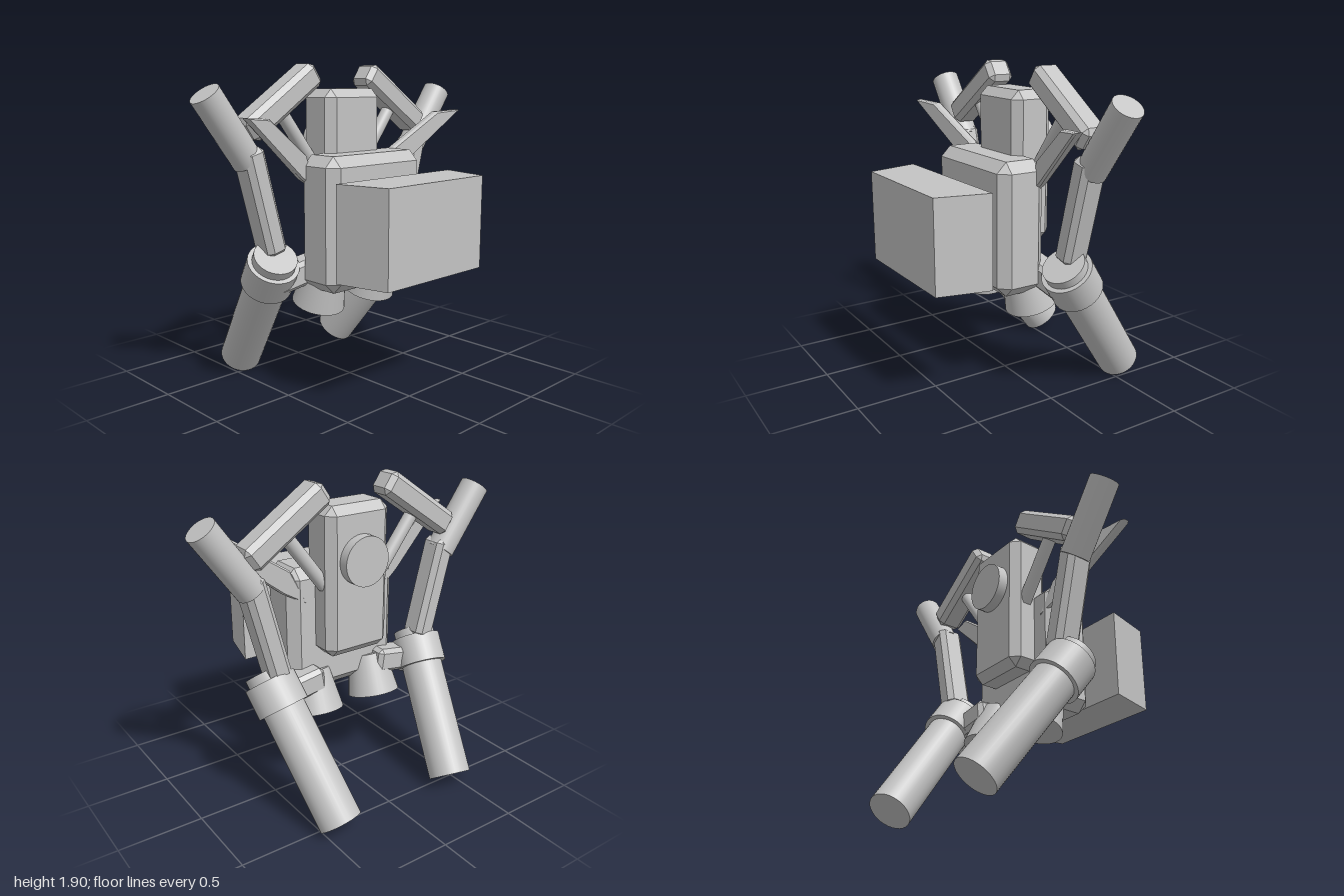
import * as THREE from 'three';
import { ConvexGeometry } from 'three/addons/geometries/ConvexGeometry.js';

const grey = new THREE.MeshStandardMaterial({ color: 0xc4c4c4 });
grey.name = 'plainGrey';
const V = (x, y, z) => new THREE.Vector3(x, y, z);

function part(name, geometry, parent) {
  const mesh = new THREE.Mesh(geometry, grey);
  mesh.name = name;
  parent.add(mesh);
  return mesh;
}

// Box with every edge and corner cut at 45 degrees
function chamferBox(w, h, d, c) {
  const pts = [];
  for (const x of [-1, 1]) for (const y of [-1, 1]) for (const z of [-1, 1]) {
    const a = w / 2, b = h / 2, e = d / 2;
    pts.push(
      V(x * a, y * (b - c), z * (e - c)),
      V(x * (a - c), y * b, z * (e - c)),
      V(x * (a - c), y * (b - c), z * e));
  }
  return new ConvexGeometry(pts);
}

// Aligns a mesh's y axis with the line from a to b
function alignBetween(mesh, a, b) {
  mesh.position.copy(a).add(b).multiplyScalar(0.5);
  mesh.quaternion.setFromUnitVectors(V(0, 1, 0), b.clone().sub(a).normalize());
  return mesh;
}

function rod(name, a, b, rA, rB, parent) {
  return alignBetween(part(name, new THREE.CylinderGeometry(rB, rA, a.distanceTo(b), 32), parent), a, b);
}

function beam(name, a, b, width, depth, bevel, parent) {
  return alignBetween(part(name, chamferBox(width, a.distanceTo(b), depth, bevel), parent), a, b);
}

// Swept blade: flat outline sheared forwards towards its tip
function finGeometry(s) {
  const outline = [[0.84, 1.625], [0.68, 1.61], [0.37, 1.40], [0.28, 1.21], [0.40, 1.28]];
  const shape = new THREE.Shape(outline.map(([x, y]) => new THREE.Vector2(s * x, y)));
  const g = new THREE.ExtrudeGeometry(shape, {
    depth: 0.03, bevelEnabled: true, bevelThickness: 0.015, bevelSize: 0.01, bevelSegments: 1,
  });
  const p = g.attributes.position;
  for (let i = 0; i < p.count; i++) {
    p.setZ(i, p.getZ(i) - 0.03 + 0.25 * (Math.abs(p.getX(i)) - 0.3));
  }
  g.computeVertexNormals();
  return g;
}

export function createModel() {
  const model = new THREE.Group();
  model.name = 'equipmentPack';

  // Central body and the tall block behind it
  part('body', chamferBox(0.75, 0.78, 0.3, 0.06), model).position.set(0, 1.015, 0.105);
  part('backBlock', chamferBox(0.43, 0.89, 0.26, 0.05), model).position.set(0, 1.325, -0.065);
  rod('backDisc', V(0, 1.455, -0.18), V(0, 1.455, -0.257), 0.147, 0.147, model);

  // Floating front block, narrower at its front
  const plan = new THREE.Shape([[-0.465, -0.375], [0.465, -0.375], [0.39, -0.685], [-0.39, -0.685]]
    .map(([x, y]) => new THREE.Vector2(x, y)));
  const front = part('frontBlock', new THREE.ExtrudeGeometry(plan, { depth: 0.54, bevelEnabled: false }), model);
  front.rotation.x = -Math.PI / 2;
  front.position.y = 0.745;

  for (const s of [1, -1]) {
    const side = new THREE.Group();
    side.name = s > 0 ? 'leftSide' : 'rightSide';
    model.add(side);

    // Flared nozzle under the body
    rod('nozzle', V(s * 0.215, 0.507, -0.05), V(s * 0.215, 0.75, 0.025), 0.16, 0.115, side);

    // Angled leg cylinder with its collar
    const top = V(s * 0.55, 0.84, -0.03), foot = V(s * 0.415, 0.083, -0.58);
    rod('leg', foot, top, 0.127, 0.127, side);
    rod('legCollar', top.clone().lerp(foot, 0.245), top.clone().lerp(foot, 0.055), 0.153, 0.153, side);

    // Link between body and collar
    beam('hipLink', V(s * 0.2, 0.74, -0.06), V(s * 0.56, 0.685, -0.06), 0.15, 0.15, 0.025, side);

    // Arm frame: lower beam, upper beam, brace and barrel
    beam('lowerArm', V(s * 0.515, 0.84, -0.105), V(s * 0.675, 1.455, -0.105), 0.135, 0.165, 0.03, side);
    beam('upperArm', V(s * 0.69, 1.54, -0.105), V(s * 0.21, 1.865, -0.105), 0.15, 0.165, 0.03, side);
    rod('brace', V(s * 0.19, 1.31, -0.1), V(s * 0.47, 1.68, -0.1), 0.04, 0.04, side);
    rod('barrel', V(s * 0.665, 1.38, -0.115), V(s * 0.93, 1.75, -0.115), 0.087, 0.087, side);

    part('fin', finGeometry(s), side);
  }
  return model;
}
